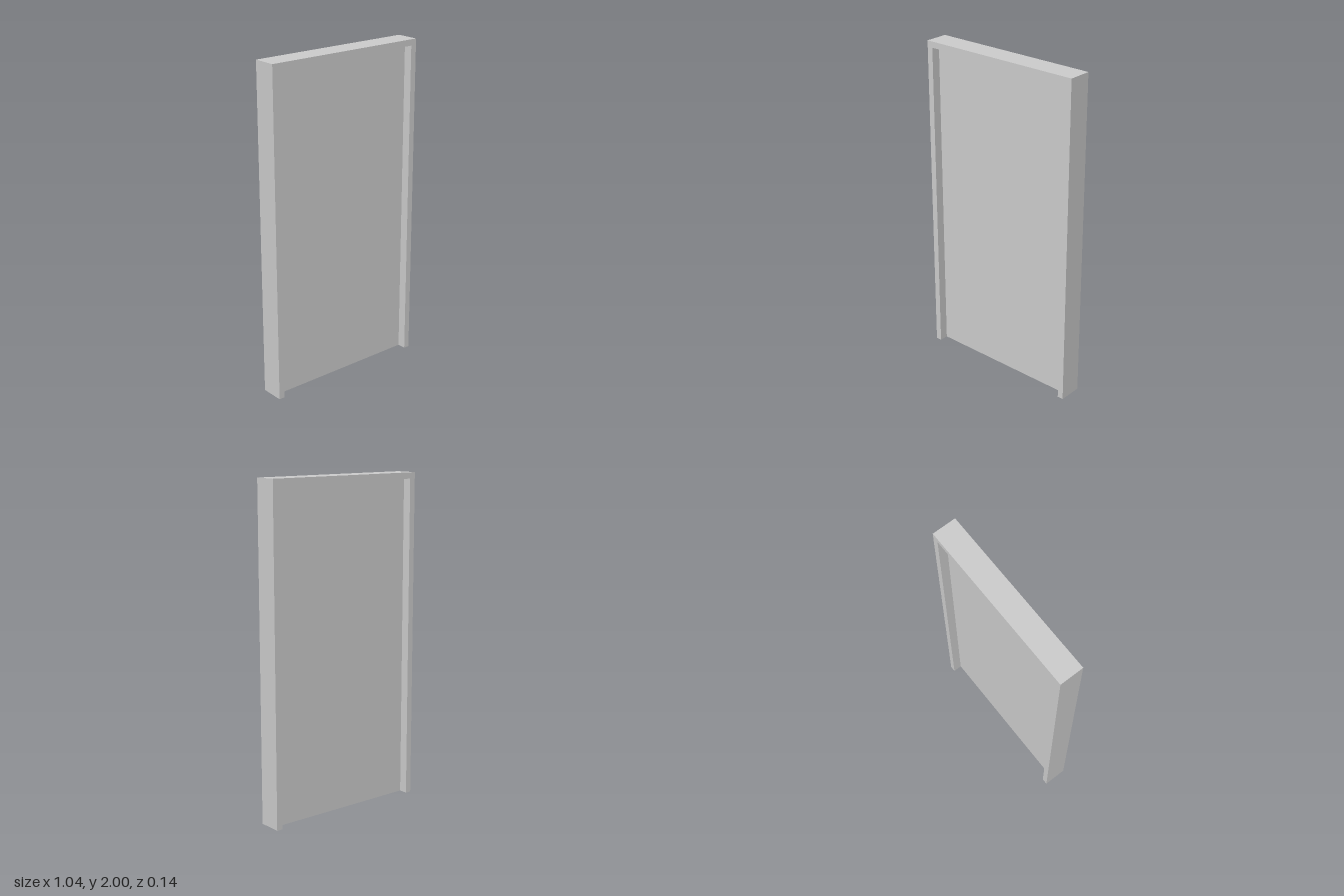
import * as THREE from 'three';

export function createModel() {
  const group = new THREE.Group();
  const material = new THREE.MeshStandardMaterial({ color: 0xcccccc, flatShading: true });
  const halfWidth = 0.522, height = 2, depth = 0.144, face = 0.037, leafThickness = 0.036;
  const inner = halfWidth - face, innerTop = height - face;

  // Door frame: two jambs and a head, open at the floor
  const outline = new THREE.Shape([
    [-halfWidth, 0], [-inner, 0], [-inner, innerTop], [inner, innerTop],
    [inner, 0], [halfWidth, 0], [halfWidth, height], [-halfWidth, height],
  ].map(([x, y]) => new THREE.Vector2(x, y)));
  const frameGeometry = new THREE.ExtrudeGeometry(outline, { depth, bevelEnabled: false });
  frameGeometry.translate(0, 0, -depth / 2);
  const frame = new THREE.Mesh(frameGeometry, material);
  frame.name = 'doorFrame';

  // Door leaf: flat panel set in the middle of the frame depth
  const leaf = new THREE.Mesh(new THREE.BoxGeometry(inner * 2, innerTop, leafThickness), material);
  leaf.position.y = innerTop / 2;
  leaf.name = 'doorLeaf';

  group.add(frame, leaf);
  group.name = 'door';
  return group;
}
